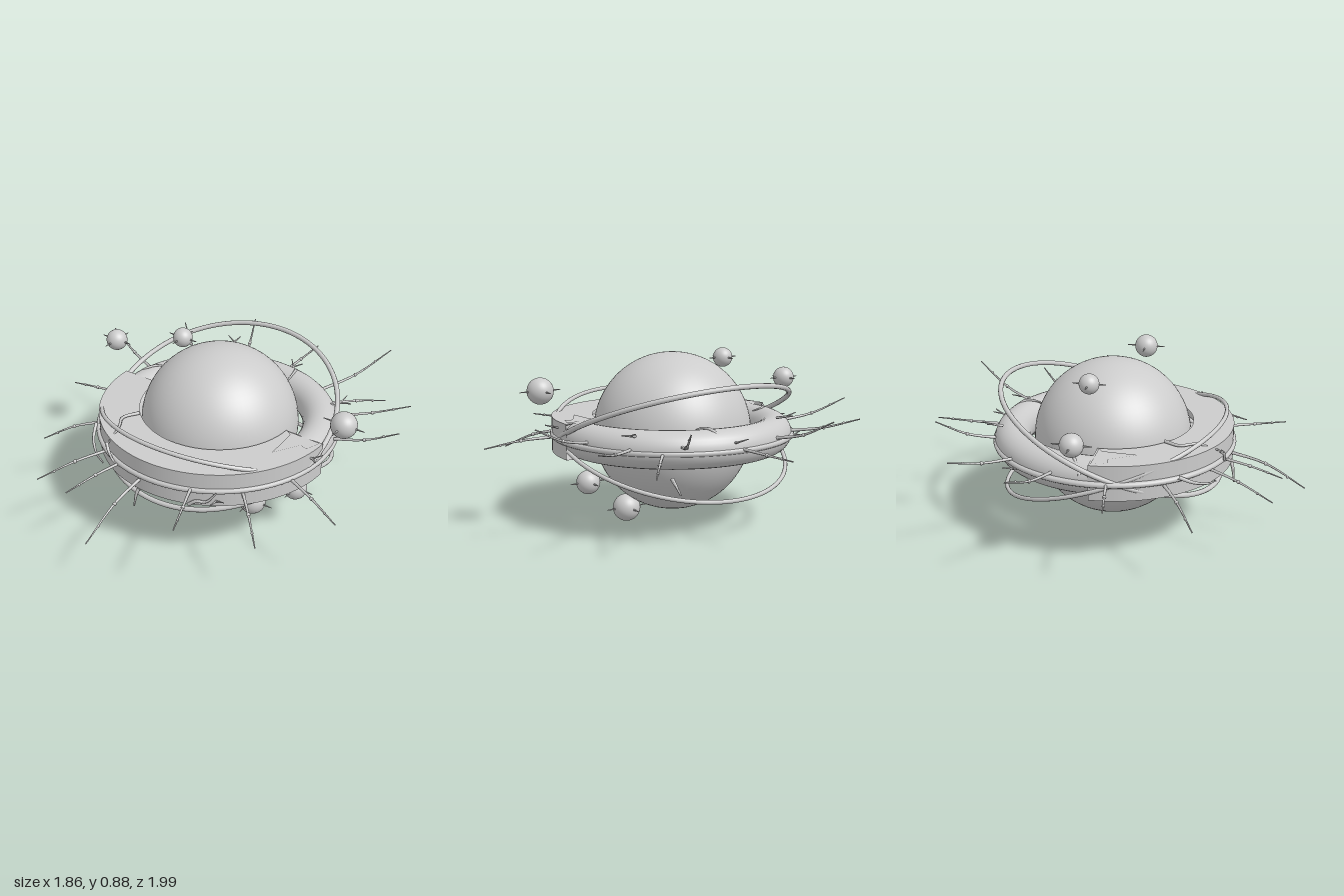
import * as THREE from 'three';

const CENTRE = new THREE.Vector3(0.02, 0.47, -0.02);
const V = (x, y, z) => new THREE.Vector3(x, y, z);

export function createModel() {
  const model = new THREE.Group();
  const grey = new THREE.MeshStandardMaterial({ color: 0xcccccc });
  const thin = new THREE.MeshStandardMaterial({ color: 0xcccccc, side: THREE.DoubleSide });

  function add(name, geometry, position = V(0, 0, 0), material = grey, parent = model) {
    const mesh = new THREE.Mesh(geometry, material);
    mesh.name = name;
    mesh.position.copy(position);
    parent.add(mesh);
    return mesh;
  }

  // Tube along a path whose radius shrinks towards its tip
  function taperedTube(points, r0, r1, segments = 16, sides = 6) {
    const curve = new THREE.CatmullRomCurve3(points);
    const geo = new THREE.TubeGeometry(curve, segments, r0, sides);
    const pos = geo.attributes.position;
    const v = new THREE.Vector3();
    for (let i = 0; i < pos.count; i++) {
      const t = Math.floor(i / (sides + 1)) / segments;
      const c = curve.getPointAt(t);
      v.fromBufferAttribute(pos, i).sub(c).multiplyScalar(1 + (r1 / r0 - 1) * t).add(c);
      pos.setXYZ(i, v.x, v.y, v.z);
    }
    return geo;
  }

  // Central globe
  add('globe', new THREE.SphereGeometry(0.41, 64, 40), CENTRE);

  // Round rear half of the belt
  const rear = new THREE.TorusGeometry(0.525, 0.093, 28, 72, Math.PI + 0.16);
  rear.rotateZ(-0.08).rotateX(-Math.PI / 2);
  add('rearBelt', rear, CENTRE, thin);

  // Flat-topped front half of the belt
  const section = [[0.41, 0.38], [0.62, 0.38], [0.62, 0.56], [0.41, 0.56]];
  for (let i = 0; i < 3; i++) {
    const pair = [section[i], section[i + 1]].map(([r, y]) => new THREE.Vector2(r, y));
    add(['frontBeltFloor', 'frontBeltWall', 'frontBeltTop'][i],
      new THREE.LatheGeometry(pair, 48, -Math.PI / 2, Math.PI), V(CENTRE.x, 0, -0.01), thin);
  }

  // Broken shards where the two halves meet
  for (const side of [-1, 1]) {
    const shape = new THREE.Shape();
    [[0.42, 0], [0.61, 0], [0.58, 0.08], [0.54, 0.07], [0.46, 0.2], [0.45, 0.02]]
      .forEach(([x, z], i) => (i ? shape.lineTo(side * x, z) : shape.moveTo(side * x, z)));
    const geo = new THREE.ShapeGeometry(shape).rotateX(Math.PI / 2);
    add('beltShard', geo, V(CENTRE.x, 0.564, 0), thin);
  }

  // Equator trim and two crossing tilted hoops
  function hoop(name, radius, tube, y, z, tilt) {
    const geo = new THREE.TorusGeometry(radius, tube, 10, 96).rotateX(Math.PI / 2);
    add(name, geo, V(0.015, y, z)).rotation.x = tilt;
  }
  hoop('equatorTrim', 0.62, 0.015, 0.465, -0.01, 0);
  hoop('risingHoop', 0.617, 0.013, 0.525, -0.02, 0.39);
  hoop('fallingHoop', 0.612, 0.011, 0.42, -0.005, -0.35);

  // Moons with four horizontal spikes each: x, y, z, radius
  const moons = [[-0.7, 0.7, -0.06, 0.057], [-0.26, 0.84, -0.08, 0.051], [0.76, 0.73, 0.02, 0.065],
    [0.51, 0.25, 0.01, 0.06], [0.27, 0.08, 0.035, 0.071]];
  for (const [x, y, z, r] of moons) {
    const moon = new THREE.Group();
    moon.name = 'moon';
    moon.position.set(x, y, z);
    model.add(moon);
    add('moonBall', new THREE.SphereGeometry(r, 32, 20), V(0, 0, 0), grey, moon);
    for (let k = 0; k < 4; k++) {
      const spike = new THREE.CylinderGeometry(0.002, 0.005, r * 0.75, 6);
      spike.translate(0, r * 1.3, 0).rotateZ(-Math.PI / 2).rotateY(k * Math.PI / 2);
      add('moonSpike', spike, V(0, 0, 0), grey, moon);
    }
  }

  // Curved spines around the belt, given by their tips
  const tips = [[0.04, 0.475, -1], [0.54, 0.64, -0.92], [0.61, 0.42, -0.76], [0.82, 0.53, -0.62],
    [0.93, 0.6, -0.25], [0.92, 0.41, 0.34], [0.67, 0.35, 0.63], [0.38, 0.47, 0.86],
    [-0.04, 0.28, 0.99], [-0.25, 0.42, 0.88], [-0.47, 0.39, 0.85], [-0.75, 0.34, 0.51],
    [-0.87, 0.455, 0.12], [-0.93, 0.595, -0.31], [-0.69, 0.55, -0.67], [-0.32, 0.6, -0.87]];
  for (const [x, y, z] of tips) {
    const tip = V(x, y, z);
    const dir = V(x - CENTRE.x, 0, z - CENTRE.z).normalize();
    const root = V(CENTRE.x, 0, CENTRE.z).addScaledVector(dir, 0.6);
    root.y = 0.47 + (y - 0.47) * 0.15;
    const mid = root.clone().lerp(tip, 0.5);
    mid.y = root.y + (y - root.y) * 0.3;
    add('spine', taperedTube([root, mid, tip], 0.009, 0.003));
    add('spineKnot', new THREE.SphereGeometry(0.01, 8, 6), mid);
    add('spineKnot', new THREE.SphereGeometry(0.007, 8, 6), mid.clone().lerp(tip, 0.55));
  }

  // Crooked roots creeping over the belt
  const roots = [
    [[0.14, 0.54, -0.58], [0.16, 0.565, -0.54], [0.17, 0.565, -0.49], [0.17, 0.55, -0.44]],
    [[-0.59, 0.5, -0.05], [-0.52, 0.565, -0.1], [-0.47, 0.565, -0.16], [-0.4, 0.55, -0.16]],
    [[-0.26, 0.57, 0.3], [-0.3, 0.57, 0.38], [-0.26, 0.57, 0.46], [-0.24, 0.53, 0.59]],
    [[-0.25, 0.54, 0.57], [-0.22, 0.51, 0.59], [-0.2, 0.47, 0.59], [-0.15, 0.455, 0.6]],
    [[-0.47, 0.48, 0.4], [-0.43, 0.44, 0.47], [-0.36, 0.41, 0.53], [-0.29, 0.395, 0.56]],
    [[0.25, 0.38, 0.57], [0.29, 0.41, 0.56], [0.33, 0.41, 0.54], [0.38, 0.47, 0.52]],
    [[-0.02, 0.385, 0.61], [-0.03, 0.35, 0.62], [-0.04, 0.28, 0.63]],
    [[0.3, 0.32, -0.43], [0.33, 0.31, -0.5], [0.36, 0.28, -0.59]],
  ];
  for (const pts of roots) {
    add('creepingRoot', taperedTube(pts.map((p) => V(...p)), 0.01, 0.004));
  }

  // Small forked twigs on the rim: angle from +x towards +z, height
  const twigs = [[-1.48, 0.5], [-2.06, 0.58], [-0.67, 0.54], [-2.48, 0.44], [0.98, 0.4], [0.17, 0.52]];
  for (const [a, y] of twigs) {
    const at = (r, da, dy) => V(CENTRE.x + r * Math.cos(a + da), y + dy, CENTRE.z + r * Math.sin(a + da));
    add('twig', taperedTube([at(0.58, 0, 0), at(0.63, 0.01, 0.01), at(0.68, 0.05, 0.02)], 0.007, 0.003, 8));
    add('twigFork', taperedTube([at(0.63, 0.01, 0.01), at(0.67, -0.05, 0.03)], 0.005, 0.002, 4));
  }
  return model;
}
